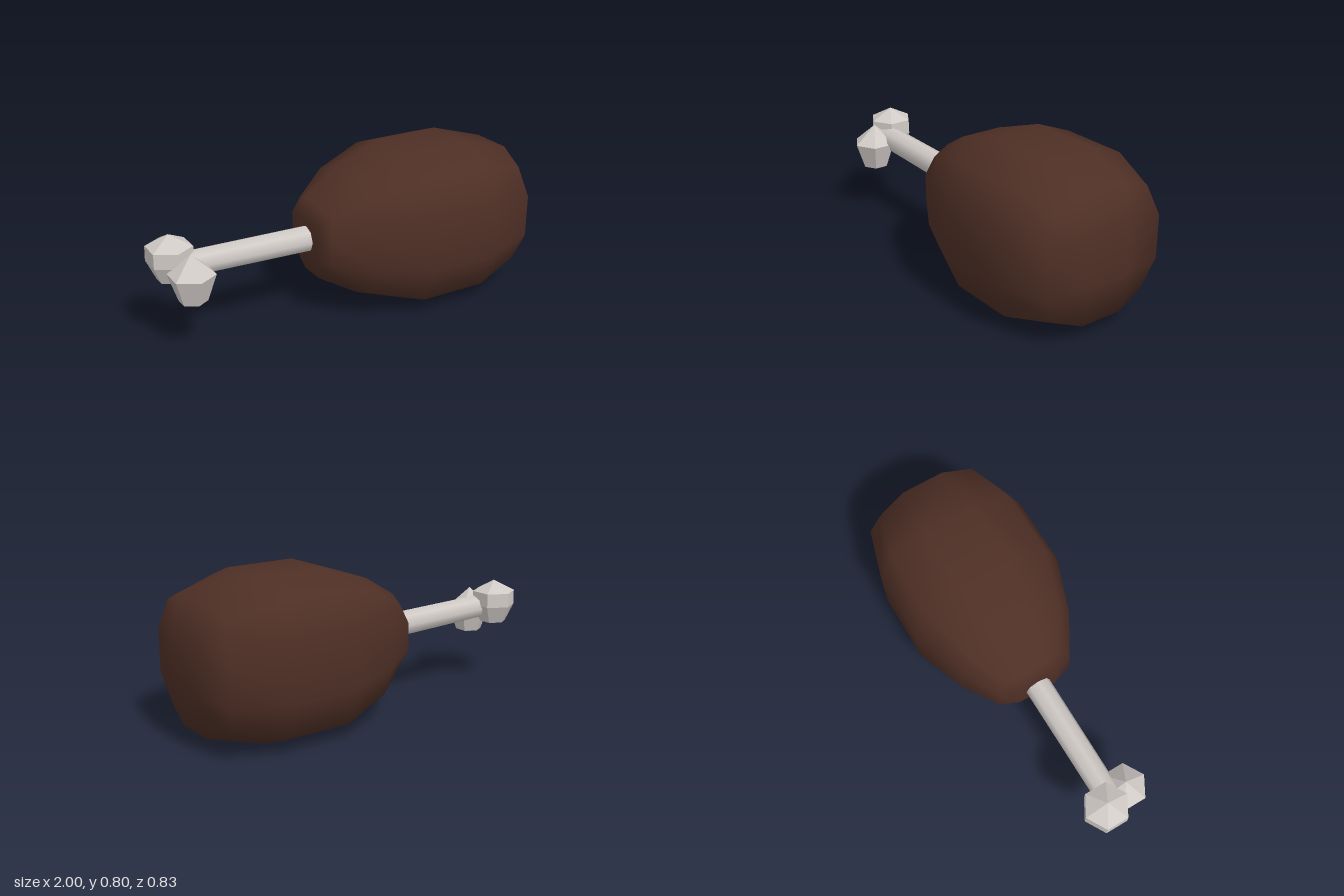
import * as THREE from 'three';
import { mergeVertices } from 'three/addons/utils/BufferGeometryUtils.js';

// Rounded-square outline as [y, z]: three points per quadrant, turned four times
function outline() {
  const pts = [];
  let quad = [[1, 0.34], [0.81, 0.81], [0.34, 1]];
  for (let q = 0; q < 4; q++) {
    pts.push(...quad);
    quad = quad.map(([y, z]) => [-z, y]);
  }
  return pts;
}

// Plump body lofted along x; each end closes onto a small square
function meatGeometry() {
  // x, scale, x shift of the corner points, collapsed to a square
  const rings = [
    [-0.19, 0.25, 0, true],
    [-0.16, 0.49, 0.025, false],
    [0.04, 0.775, 0, false],
    [0.31, 1, 0, false],
    [0.67, 1, 0, false],
    [0.95, 0.8, -0.025, false],
    [1.0, 0.26, 0, true],
  ];
  const shape = outline(), n = shape.length;
  const pos = [], index = [];
  for (const [x, s, shift, square] of rings) {
    shape.forEach((p, k) => {
      const corner = shape[k - (k % 3) + 1];
      const [y, z] = square ? corner.map(Math.sign) : p;
      pos.push(x + (k % 3 === 1 ? shift : 0), 0.402 + y * s * 0.4, z * s * 0.413);
    });
  }
  for (let i = 0; i < rings.length - 1; i++) {
    for (let j = 0; j < n; j++) {
      const a = i * n + j, b = i * n + (j + 1) % n;
      index.push(a, b, b + n, a, b + n, a + n);
    }
  }
  const e = (rings.length - 1) * n;
  index.push(0, 6, 3, 0, 9, 6, e, e + 3, e + 6, e, e + 6, e + 9);
  let g = new THREE.BufferGeometry();
  g.setAttribute('position', new THREE.Float32BufferAttribute(pos, 3));
  g.setIndex(index);
  g = mergeVertices(g, 1e-4);
  g.computeVertexNormals();
  return g;
}

export function createModel() {
  const group = new THREE.Group();
  const brown = new THREE.MeshStandardMaterial({ name: 'roastBrown', color: 0x4e2f25 });
  const bone = new THREE.MeshStandardMaterial({ name: 'bone', color: 0xd0cac6 });
  const boneFacets = new THREE.MeshStandardMaterial({ name: 'boneFaceted', color: 0xd0cac6, flatShading: true });

  const add = (name, geometry, material) => {
    const mesh = new THREE.Mesh(geometry, material);
    mesh.name = name;
    group.add(mesh);
    return mesh;
  };

  add('meat', meatGeometry(), brown);

  // Bone shaft, rising slightly toward the knobs
  const shaft = add('boneShaft', new THREE.CylinderGeometry(0.064, 0.068, 0.78, 8), bone);
  shaft.rotation.z = Math.PI / 2 - 0.025;
  shaft.position.set(-0.49, 0.413, 0);

  // Two faceted knuckles: [radius, height] profiles from bottom to top
  const knuckle = (name, profile, x, y, z) => {
    const points = profile.map(([r, h]) => new THREE.Vector2(r, h));
    add(name, new THREE.LatheGeometry(points, 6), boneFacets).position.set(x, y, z);
  };
  knuckle('backKnuckle', [[0, 0], [0.07, 0.015], [0.117, 0.11], [0.115, 0.185], [0, 0.245]], -0.895, 0.325, -0.05);
  knuckle('frontKnuckle', [[0, 0], [0.07, 0.018], [0.117, 0.155], [0, 0.255]], -0.845, 0.255, 0.09);

  return group;
}
